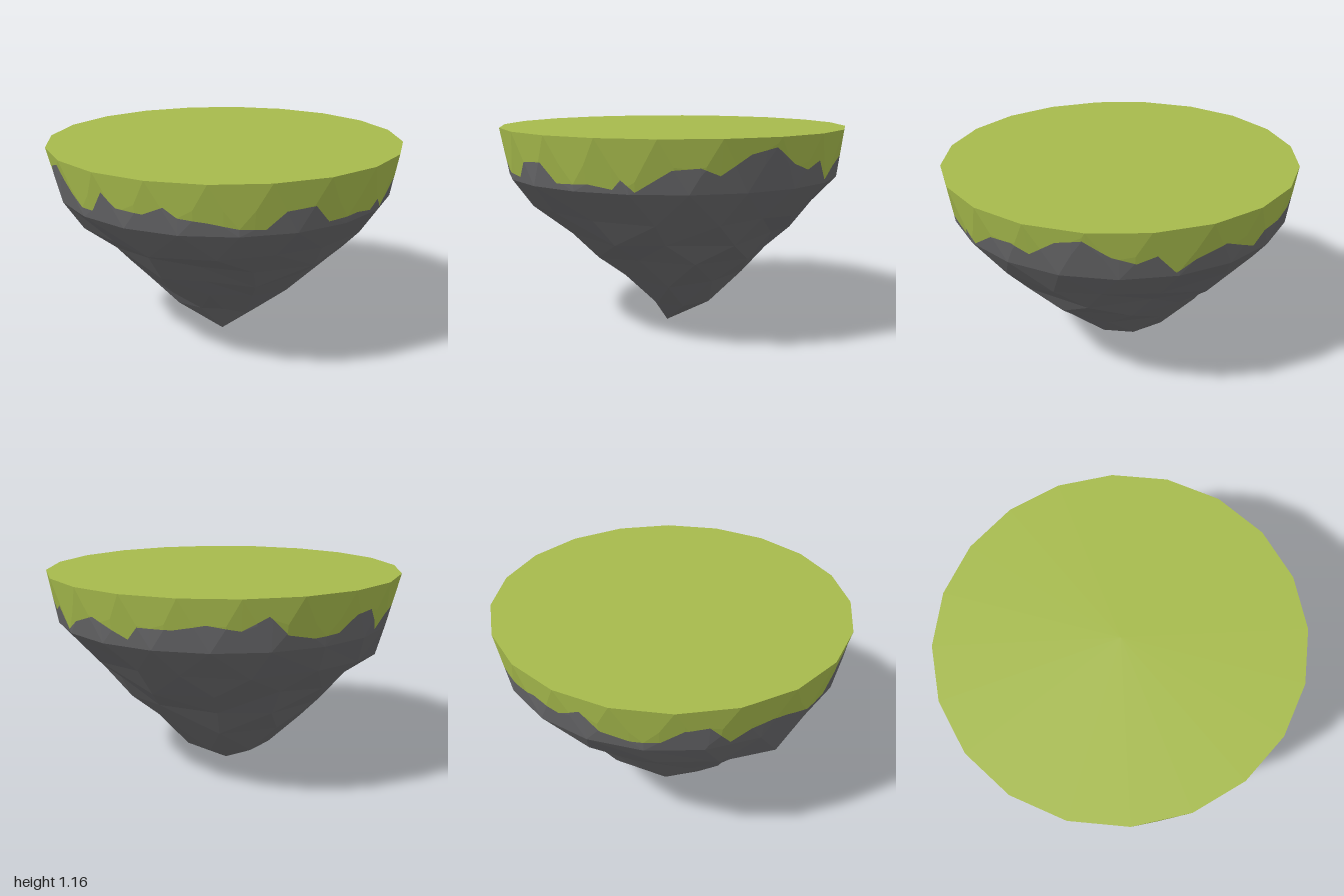
import * as THREE from 'three';

const SIDES = 20, TOP = 1.16, RIM = 0.89;

let seed = 11;
function jitter(amount) {
  seed = (seed * 16807) % 2147483647;
  return (seed / 2147483647 * 2 - 1) * amount;
}

// angle 0 is +x, 90 degrees is +z
const polar = (a, r, y) => new THREE.Vector3(Math.cos(a) * r, y, Math.sin(a) * r);

// height of the ragged grass edge, as [degrees, y]
const EDGE = [
  [0, .98], [6, 1.02], [14, 1.01], [19, .96], [25, .90], [29, .96], [32, .91], [40, .93],
  [52, .92], [58, 1.02], [67, 1.01], [73, .92], [81, .93], [90, .96], [99, .98], [103, 1.03],
  [110, .98], [119, .99], [124, 1.06], [130, .94], [135, .94], [140, 1.0], [148, 1.12],
  [157, 1.08], [160, .92], [170, .93], [180, .98], [186, 1.0], [193, .98], [199, .91],
  [206, 1.04], [213, 1.03], [220, .95], [229, .94], [238, .97], [244, 1.07], [252, 1.0],
  [262, 1.03], [272, 1.0], [283, 1.0], [287, .93], [300, 1.02], [310, .97], [316, .91],
  [322, 1.02], [328, .98], [335, 1.02], [343, 1.11], [351, 1.08], [360, .98],
];

function edgeHeight(deg) {
  const i = Math.max(1, EDGE.findIndex(e => e[0] >= deg - 1e-6));
  const [a, ya] = EDGE[i - 1], [b, yb] = EDGE[i];
  return ya + (yb - ya) * (deg - a) / (b - a);
}

const topPoint = k => {
  const a = k * 2 * Math.PI / SIDES;
  return polar(a, 0.98 + 0.018 * Math.cos(a) ** 2, TOP);
};
const rimPoint = k => polar((k + 0.5) * 2 * Math.PI / SIDES, 0.935, RIM);

// point on the zigzag-triangulated wall: t in 0..SIDES around, v in 0..1 upwards
function wallPoint(t, v) {
  const h = Math.floor(t * 2 + 1e-6), k = Math.floor(h / 2), odd = h % 2;
  let s = t * 2 - h;
  if (odd) s = 1 - s;
  const T0 = topPoint(k + odd), T1 = topPoint(k).lerp(topPoint(k + 1), 0.5);
  const B0 = rimPoint(k + odd - 1).lerp(rimPoint(k + odd), 0.5), B1 = rimPoint(k);
  return v >= 1 - s
    ? T0.clone().addScaledVector(T1.clone().sub(T0), s).addScaledVector(B1.clone().sub(T1), 1 - v)
    : B0.clone().addScaledVector(B1.clone().sub(B0), s).addScaledVector(T0.clone().sub(B0), v);
}

// strip of the wall above (grass) or below (rock) the ragged edge
function wallStrip(upper) {
  const angles = new Set(EDGE.map(e => e[0]));
  for (let d = 0; d <= 360; d += 4.5) angles.add(d);
  const columns = [...angles].sort((a, b) => a - b).map(deg => {
    const t = deg / 360 * SIDES, f = (t * 2) % 2;
    const crease = f > 1 ? f - 1 : 1 - f;
    const v = (edgeHeight(deg) - RIM) / (TOP - RIM);
    const rows = upper ? [v, Math.max(v, crease), 1] : [0, Math.min(v, crease), v];
    return rows.map(r => wallPoint(t, r));
  });
  const tris = [];
  for (let i = 0; i + 1 < columns.length; i++) {
    const a = columns[i], b = columns[i + 1];
    for (let r = 0; r < 2; r++) tris.push(a[r], a[r + 1], b[r], b[r], a[r + 1], b[r + 1]);
  }
  return tris;
}

// joins two rings that may have different numbers of points
function stitch(up, low) {
  const tris = [], n = up.points.length, m = low.points.length;
  const at = (ring, i) => ring.points[i % ring.points.length];
  for (let i = 0, j = 0; i < n || j < m;) {
    const nextUp = (i + 1 + up.offset) / n, nextLow = (j + 1 + low.offset) / m;
    if (j >= m || (i < n && nextUp <= nextLow)) {
      tris.push(at(low, j), at(up, i), at(up, i + 1));
      i++;
    } else {
      tris.push(at(low, j), at(up, i), at(low, j + 1));
      j++;
    }
  }
  return tris;
}

// faceted underside: sides, height and radius every 45 degrees from +x towards +z
const LEVELS = [
  { n: 16, y: .72, radii: [.80, .77, .80, .76, .85, .83, .81, .76] },
  { n: 13, y: .60, radii: [.69, .66, .60, .60, .69, .71, .70, .64] },
  { n: 11, y: .46, radii: [.59, .52, .49, .47, .57, .58, .57, .52] },
  { n: 9, y: .32, radii: [.41, .37, .35, .34, .45, .47, .45, .40] },
  { n: 8, y: .15, radii: [.22, .18, .14, .18, .27, .28, .27, .24] },
];

function radiusAt(radii, turn) {
  const i = Math.floor(turn * 8);
  return THREE.MathUtils.lerp(radii[i % 8], radii[(i + 1) % 8], turn * 8 - i);
}

function underside() {
  let upper = { offset: 0.5, points: Array.from({ length: SIDES }, (_, k) => rimPoint(k)) };
  const tris = [];
  LEVELS.forEach(({ n, y, radii }, level) => {
    const offset = level % 2 ? 0.5 : 0;
    const points = Array.from({ length: n }, (_, k) => {
      const turn = (k + offset) / n;
      return polar(turn * 2 * Math.PI + jitter(0.05), radiusAt(radii, turn) * (1.015 + jitter(0.02)), y + jitter(0.025));
    });
    const lower = { offset, points };
    tris.push(...stitch(upper, lower));
    upper = lower;
  });
  const tip = new THREE.Vector3(-0.01, 0, 0.03);
  upper.points.forEach((p, i, all) => tris.push(tip, p, all[(i + 1) % all.length]));
  return tris;
}

function grassTop() {
  const centre = new THREE.Vector3(0, TOP, 0), tris = [];
  for (let k = 0; k < SIDES; k++) tris.push(centre, topPoint(k + 1), topPoint(k));
  return tris;
}

function part(name, tris, color) {
  const geometry = new THREE.BufferGeometry().setFromPoints(tris);
  geometry.computeVertexNormals();
  const material = new THREE.MeshStandardMaterial({ color, flatShading: true, side: THREE.DoubleSide });
  const mesh = new THREE.Mesh(geometry, material);
  mesh.name = name;
  return mesh;
}

export function createModel() {
  const island = new THREE.Group();
  island.name = 'floatingIsland';
  const grass = 0xa6ba4c, rock = 0x68686a;
  island.add(
    part('grassTop', grassTop(), grass),
    part('grassSkirt', wallStrip(true), grass),
    part('rockBand', wallStrip(false), rock),
    part('rockUnderside', underside(), rock),
  );
  return island;
}
